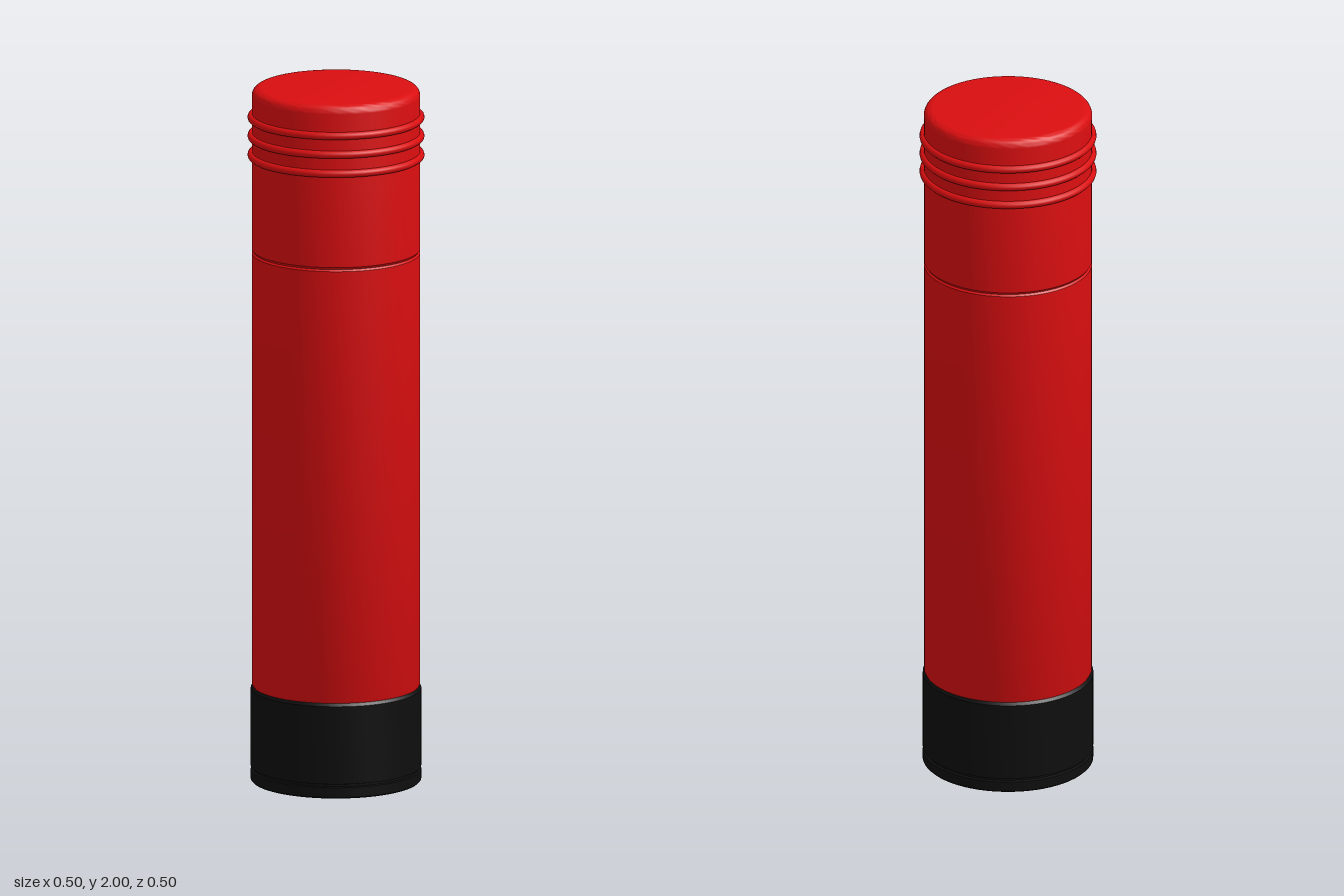
import * as THREE from 'three';
import { toCreasedNormals } from 'three/addons/utils/BufferGeometryUtils.js';

const SEGMENTS = 64;

export function createModel() {
  const model = new THREE.Group();
  model.name = 'cylindricalContainer';

  const red = new THREE.MeshStandardMaterial({ color: 0xda0e10 });
  red.name = 'red';
  const black = new THREE.MeshStandardMaterial({ color: 0x0e0e0e });
  black.name = 'black';

  // Adds a turned part from [radius, height] pairs, listed bottom to top
  function turned(name, profile, material) {
    const points = profile.map(([r, y]) => new THREE.Vector2(r, y));
    const geometry = toCreasedNormals(new THREE.LatheGeometry(points, SEGMENTS), 0.6);
    const mesh = new THREE.Mesh(geometry, material);
    mesh.name = name;
    model.add(mesh);
  }

  // Black base: a thin foot, a narrow groove and the cup above it
  turned('base', [
    [0, 0], [0.236, 0], [0.24, 0.004], [0.24, 0.032], [0.233, 0.034],
    [0.233, 0.04], [0.24, 0.042], [0.24, 0.266], [0.234, 0.274], [0, 0.274],
  ], black);

  // Long red body
  turned('body', [
    [0, 0.274], [0.234, 0.274], [0.237, 0.28], [0.237, 1.522], [0.232, 1.527], [0, 1.527],
  ], red);

  // Cap with a rounded upper rim
  const rim = 0.024;
  const cap = [[0, 1.527], [0.232, 1.527], [0.237, 1.534]];
  for (let i = 0; i <= 6; i++) {
    const a = (i / 6) * Math.PI / 2;
    cap.push([0.237 - rim + rim * Math.cos(a), 2 - rim + rim * Math.sin(a)]);
  }
  cap.push([0, 2]);
  turned('cap', cap, red);

  // Three raised rings around the cap
  const ringGeometry = new THREE.TorusGeometry(0.238, 0.011, 12, SEGMENTS);
  ringGeometry.rotateX(Math.PI / 2);
  [1.805, 1.86, 1.914].forEach((y, i) => {
    const ring = new THREE.Mesh(ringGeometry, red);
    ring.name = `capRing${i + 1}`;
    ring.position.y = y;
    model.add(ring);
  });

  return model;
}
